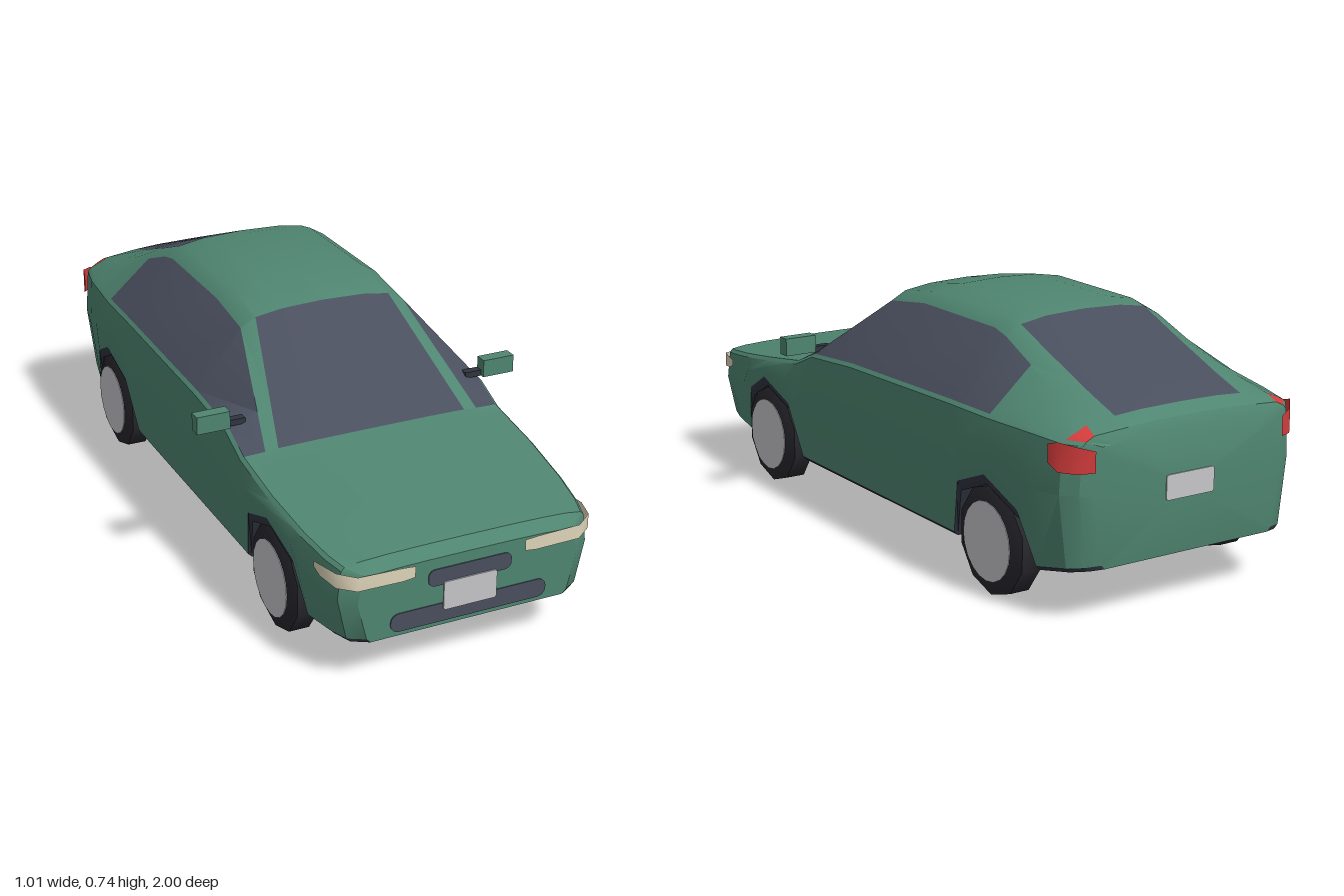
import * as THREE from 'three';
import { toCreasedNormals } from 'three/addons/utils/BufferGeometryUtils.js';

const mat = (name, color, side = THREE.FrontSide) => {
  const m = new THREE.MeshStandardMaterial({ color, side });
  m.name = name;
  return m;
};

// Body guide lines, each a few [z, value] points from nose to tail
const width = [[0.99, 0.33], [0.96, 0.375], [0.9, 0.392], [0.79, 0.408], [0.61, 0.42],
  [-0.65, 0.42], [-0.84, 0.408], [-0.945, 0.385], [-0.985, 0.35], [-1, 0.31]];
const roofline = [[0.99, 0.34], [0.96, 0.37], [0.79, 0.396], [0.415, 0.442], [0.08, 0.71],
  [-0.1, 0.74], [-0.46, 0.735], [-0.52, 0.722], [-0.945, 0.55], [-0.985, 0.525], [-1, 0.495]];
const beltline = [[0.99, 0.325], [0.96, 0.348], [0.74, 0.378], [0.415, 0.425], [0.31, 0.468],
  [0.08, 0.485], [-0.46, 0.497], [-0.84, 0.5], [-0.985, 0.49], [-1, 0.475]];
const glassEdge = [[0.99, 0.28], [0.96, 0.31], [0.79, 0.34], [0.415, 0.335], [0.08, 0.262],
  [-0.46, 0.258], [-0.65, 0.268], [-0.985, 0.305], [-1, 0.25]];
const screenEdge = [[0.99, 0.22], [0.9, 0.27], [0.74, 0.29], [0.415, 0.295], [0.08, 0.215],
  [-0.945, 0.21], [-1, 0.18]];
const crown = [[0.99, 0.005], [0.79, 0.01], [0.415, 0.005], [0.08, 0.042], [-0.1, 0.048],
  [-0.65, 0.045], [-0.84, 0.035], [-1, 0.01]];
// The sill rises over the two wheel arches
const arch = (z) => [[z + 0.13, 0.28], [z, 0.345], [z - 0.14, 0.29]];
const sillLine = [[0.99, 0.145], [0.79, 0.13], ...arch(0.61), [0.415, 0.125],
  [-0.46, 0.125], ...arch(-0.65).map(([z, y]) => [-1.3 - z, y]).reverse(), [-0.84, 0.135], [-1, 0.166]];

function at(line, z) {
  const i = Math.max(1, line.findIndex((p) => p[0] <= z + 1e-6));
  const [[z0, v0], [z1, v1]] = [line[i - 1], line[i]];
  return v0 + (v1 - v0) * (z0 - z) / (z0 - z1);
}

// Closed ring of points, from the left sill over the roof to the right sill
function ring(z) {
  const w = at(width, z), sill = at(sillLine, z), belt = at(beltline, z);
  const top = at(roofline, z), drop = at(crown, z), sx = at(screenEdge, z);
  const sillX = w - 0.03 * (1 - (sill - 0.115) / 0.23);
  const half = [
    [sillX - 0.012, sill - (sill > 0.2 ? 0.03 : 0.012)],
    [sillX, sill],
    [w, sill + (belt - sill) * 0.6],
    [w - 0.01, belt],
    [w - 0.02, belt + 0.01],
    [at(glassEdge, z), top - drop],
    [sx, top - drop * 0.4],
    [sx * 0.6, top - drop * 0.1],
    [0, top],
  ];
  const right = half.slice(0, -1).reverse().map(([x, y]) => [-x, y]);
  return [...half, ...right].map(([x, y]) => [x, y, z]);
}

// Material slots: 0 paint, 1 glass, 2 trim, 3 tail lamp
function slotFor(segment, zFront, zBack) {
  const row = Math.min(segment, 15 - segment);
  const within = (a, b) => zFront <= a + 0.001 && zBack >= b - 0.001;
  if (segment === 16 || row === 0) return 2;
  if (row === 4 && within(0.415, -0.65)) return 1;
  if (row === 4 && within(-0.945, -0.985)) return 3;
  if (row >= 6 && (within(0.415, 0.08) || within(-0.52, -0.945))) return 1;
  return 0;
}

function bodyGeometry() {
  const slots = [[], [], [], []];
  // One section wherever any guide line bends
  const bends = [width, roofline, beltline, glassEdge, screenEdge, crown, sillLine].flat();
  const stations = [...new Set(bends.map((p) => Math.round(p[0] * 1000) / 1000))].sort((a, b) => b - a);
  const rings = stations.map(ring);
  const n = rings[0].length;
  for (let i = 0; i < rings.length - 1; i++) {
    const [f, b] = [rings[i], rings[i + 1]];
    for (let j = 0; j < n; j++) {
      const k = (j + 1) % n;
      slots[slotFor(j, f[0][2], b[0][2])].push(
        ...f[j], ...b[j], ...b[k], ...f[j], ...b[k], ...f[k]);
    }
  }
  // Nose and tail panels
  const front = rings[0], back = rings[rings.length - 1];
  for (let j = 0; j < n; j++) {
    const k = (j + 1) % n;
    slots[0].push(0, 0.24, front[0][2], ...front[j], ...front[k]);
    slots[0].push(0, 0.33, back[0][2], ...back[k], ...back[j]);
  }
  const geo = new THREE.BufferGeometry();
  geo.setAttribute('position', new THREE.Float32BufferAttribute(slots.flat(), 3));
  let start = 0;
  slots.forEach((s, i) => {
    geo.addGroup(start, s.length / 3, i);
    start += s.length / 3;
  });
  return toCreasedNormals(geo, 0.5);
}

// Upright band through points [x, z, low y, high y], facing outward on either side
function bandGeometry(points, side) {
  const pos = [], index = [];
  points.forEach(([x, z, lo, hi], i) => {
    pos.push(x * side, lo, z, x * side, hi, z);
    const a = i * 2;
    if (!i) return;
    // Nose bands run outward from the centre, tail bands run inward
    const nose = z > 0 ? 1 : -1;
    if (side * nose > 0) index.push(a - 2, a + 1, a - 1, a - 2, a, a + 1);
    else index.push(a - 2, a - 1, a + 1, a - 2, a + 1, a);
  });
  const geo = new THREE.BufferGeometry();
  geo.setAttribute('position', new THREE.Float32BufferAttribute(pos, 3));
  geo.setIndex(index);
  geo.computeVertexNormals();
  return geo;
}

// Thin plate with rounded corners
function plateGeometry(w, h, r) {
  const s = new THREE.Shape();
  const x = w / 2 - r, y = h / 2 - r;
  s.absarc(x, y, r, 0, Math.PI / 2);
  s.absarc(-x, y, r, Math.PI / 2, Math.PI);
  s.absarc(-x, -y, r, Math.PI, Math.PI * 1.5);
  s.absarc(x, -y, r, Math.PI * 1.5, Math.PI * 2);
  return new THREE.ExtrudeGeometry(s, { depth: 0.004, bevelEnabled: false, curveSegments: 5 });
}

export function createModel() {
  const paint = mat('green paint', 0x4f8571);
  const glass = mat('tinted glass', 0x4a4f5e);
  const trim = mat('dark trim', 0x2f343f);
  const rubber = mat('tyre rubber', 0x27262c);
  const silver = mat('silver', 0xc6c6c9);
  const cream = mat('headlamp cream', 0xded4b9, THREE.DoubleSide);
  const red = mat('tail lamp red', 0xd43c3c, THREE.DoubleSide);

  const car = new THREE.Group();
  car.name = 'car';
  const add = (name, geo, material, x = 0, y = 0, z = 0, parent = car) => {
    const mesh = new THREE.Mesh(geo, material);
    mesh.name = name;
    mesh.position.set(x, y, z);
    parent.add(mesh);
  };

  add('body', bodyGeometry(), [paint, glass, trim, red]);

  // Nose and tail plates
  add('upperGrille', plateGeometry(0.25, 0.05, 0.02), glass, 0, 0.282, 0.989);
  add('lowerGrille', plateGeometry(0.47, 0.055, 0.025), glass, 0, 0.173, 0.989);
  add('frontPlate', plateGeometry(0.16, 0.085, 0.008), silver, 0, 0.223, 0.993);
  add('rearPlate', plateGeometry(0.16, 0.07, 0.008), silver, 0, 0.34, -1.003);

  // Tyre cross-section, turned about the axle
  const tyre = toCreasedNormals(new THREE.LatheGeometry(
    [[0, -0.045], [0.12, -0.045], [0.155, -0.03], [0.155, 0.03], [0.12, 0.045], [0, 0.045]]
      .map(([r, y]) => new THREE.Vector2(r, y)), 10, Math.PI / 2), 0.7);
  const disc = new THREE.CylinderGeometry(0.112, 0.112, 0.094, 20);
  tyre.rotateZ(Math.PI / 2);
  disc.rotateZ(Math.PI / 2);

  for (const side of [1, -1]) {
    const label = side > 0 ? 'left' : 'right';
    for (const [end, z] of [['Front', 0.61], ['Rear', -0.65]]) {
      const wheel = new THREE.Group();
      wheel.name = `${label}${end}Wheel`;
      wheel.position.set(side * 0.365, 0.155, z);
      add('tyre', tyre, rubber, 0, 0, 0, wheel);
      add('wheelDisc', disc, silver, 0, 0, 0, wheel);
      car.add(wheel);
    }
    // Lamps wrap round the corners
    add(`${label}Headlamp`, bandGeometry([
      [0.165, 0.994, 0.3, 0.333], [0.2, 0.994, 0.296, 0.336], [0.333, 0.994, 0.298, 0.34],
      [0.38, 0.962, 0.303, 0.347], [0.397, 0.9, 0.312, 0.347], [0.4, 0.87, 0.325, 0.342],
    ], side), cream);
    add(`${label}TailLamp`, bandGeometry([
      [0.397, -0.91, 0.44, 0.49], [0.39, -0.945, 0.42, 0.5],
      [0.355, -0.986, 0.418, 0.49], [0.312, -1.004, 0.42, 0.477],
    ], side), red);
    add(`${label}Mirror`, new THREE.BoxGeometry(0.1, 0.053, 0.038), paint, side * 0.454, 0.513, 0.313);
    add(`${label}MirrorArm`, new THREE.BoxGeometry(0.055, 0.018, 0.025), trim, side * 0.38, 0.495, 0.305);
  }
  return car;
}
